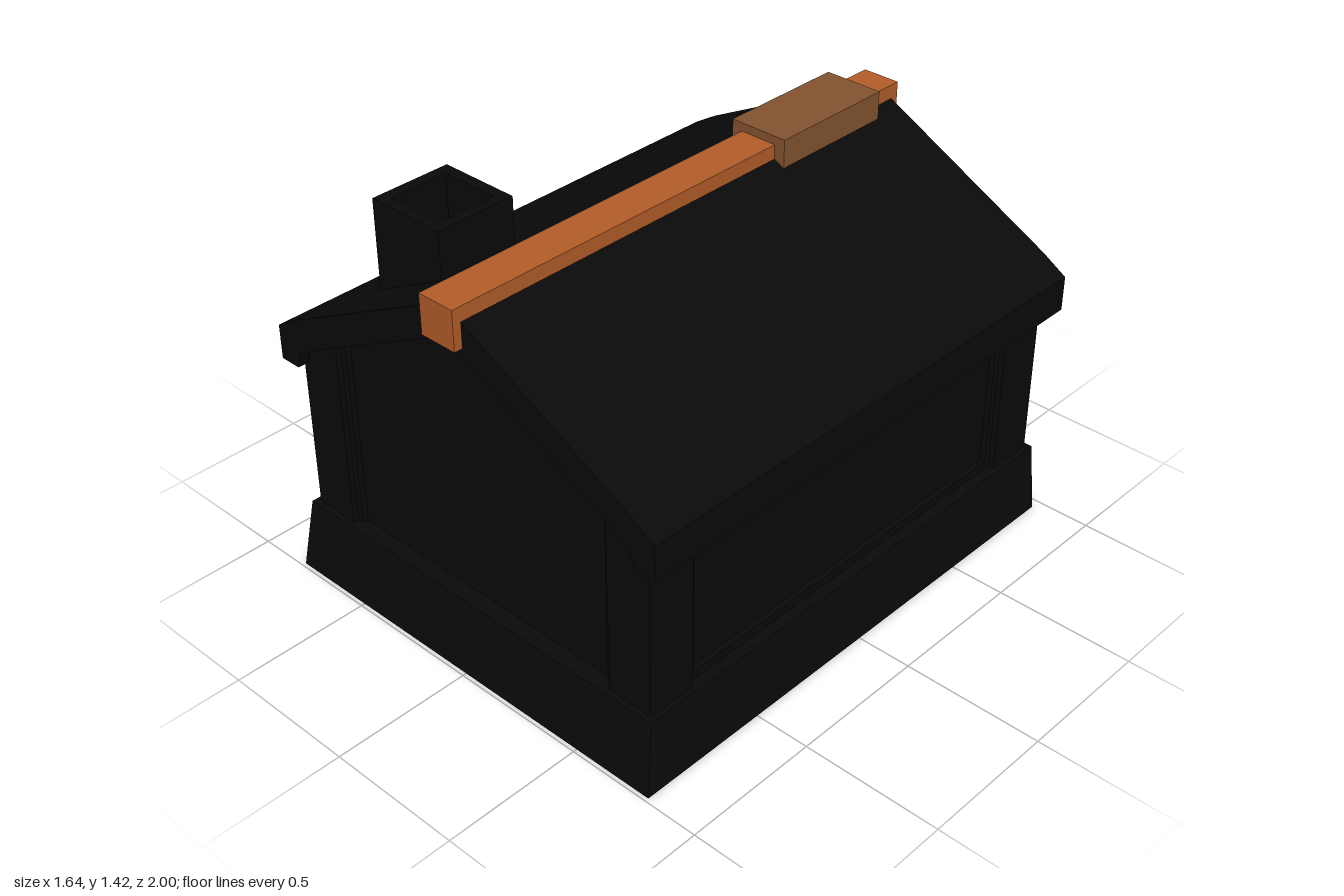
import * as THREE from 'three';

const mat = (color) => new THREE.MeshStandardMaterial({ color, flatShading: true });

export function createModel() {
  const group = new THREE.Group();
  const dark = mat(0x0a0a0a), orange = mat(0xb35c28), brown = mat(0x83532f), grey = mat(0xcccccc);

  const add = (name, geometry, material) => {
    const mesh = new THREE.Mesh(geometry, material);
    mesh.name = name;
    group.add(mesh);
    return mesh;
  };
  // Box given by its extents on each axis
  const box = (name, [x0, x1], [y0, y1], [z0, z1], material) =>
    add(name, new THREE.BoxGeometry(x1 - x0, y1 - y0, z1 - z0), material)
      .position.set((x0 + x1) / 2, (y0 + y1) / 2, (z0 + z1) / 2);
  const shapeOf = (points) => new THREE.Shape(points.map(([x, y]) => new THREE.Vector2(x, y)));
  const extrude = (shape, depth) =>
    new THREE.ExtrudeGeometry(shape, { depth, bevelEnabled: false, curveSegments: 10 });

  // Sloping plinth with a gap for the doorway at the back
  const footprint = shapeOf([[-0.805, -0.99], [0.805, -0.99], [0.805, 0.955], [0.22, 0.955],
    [0.22, 0.89], [-0.22, 0.89], [-0.22, 0.955], [-0.805, 0.955]]);
  const plinth = extrude(footprint, 0.255);
  plinth.rotateX(-Math.PI / 2);
  const p = plinth.attributes.position;
  for (let i = 0; i < p.count; i++) {
    if (p.getY(i) < 0.1) continue;
    p.setX(i, p.getX(i) * 0.97);
    if (p.getZ(i) > 0.9) p.setZ(i, 0.95);
    else if (p.getZ(i) < -0.93) p.setZ(i, -0.945);
  }
  plinth.computeVertexNormals();
  add('plinth', plinth, dark).position.y = 0.005;

  // Walls: solid core plus a back wall pierced by an arched doorway
  const gable = () => shapeOf([[-0.72, 0.01], [0.72, 0.01], [0.72, 0.92], [0.6, 0.99],
    [0, 1.3], [-0.6, 0.99], [-0.72, 0.92]]);
  add('walls', extrude(gable(), 1.72), dark).position.z = -0.83;
  const backWall = gable();
  const door = new THREE.Path();
  door.moveTo(-0.16, 0.03);
  door.lineTo(-0.16, 0.36);
  door.absarc(0, 0.36, 0.16, Math.PI, 0, true);
  door.lineTo(0.16, 0.03);
  door.closePath();
  backWall.holes.push(door);
  add('backWall', extrude(backWall, 0.06), dark).position.z = -0.89;

  // Corner pillars with a narrow stepped edge, and sills under the side panels
  for (const sx of [-1, 1]) {
    for (const sz of [-1, 1]) {
      const pillar = (name, x0, x1, z0, z1) =>
        box(name, [x0 * sx, x1 * sx].sort((a, b) => a - b), [0.2, 0.965],
          [z0 * sz, z1 * sz].sort((a, b) => a - b), dark);
      pillar('cornerPillar', 0.59, 0.76, 0.75, 0.93);
      pillar('pillarStep', 0.565, 0.74, 0.725, 0.91);
    }
    const sill = [0.7 * sx, 0.74 * sx].sort((a, b) => a - b);
    box('sideSill', sill, [0.2, 0.29], [-0.74, 0.74], dark);
  }

  // Thick roof shell with a slight break above the eaves
  const outer = [[0.82, 0.82], [0.82, 0.945], [0.73, 1.0], [0, 1.375]];
  const inner = [[0.6, 0.95], [0.72, 0.88], [0.74, 0.82]];
  const half = [...outer, [0, 1.26], ...inner];
  const mirrored = half.map(([x, y]) => [-x, y]);
  const roofShape = shapeOf([...outer, ...mirrored.slice(0, 3).reverse(),
    ...mirrored.slice(5).reverse(), [0, 1.26], ...inner]);
  add('roof', extrude(roofShape, 1.94), dark).position.z = -0.97;

  // Ridge beam and the sleeve around it
  box('ridgeBeam', [-0.07, 0.07], [1.25, 1.39], [-1, 1], orange);
  box('ridgeSleeve', [-0.11, 0.11], [1.32, 1.42], [-0.85, -0.37], brown);

  // Hollow square chimney
  const square = (r) => [[-r, -r], [r, -r], [r, r], [-r, r]];
  const chimneyShape = shapeOf(square(0.15));
  chimneyShape.holes.push(shapeOf(square(0.11)));
  const chimney = extrude(chimneyShape, 0.355);
  chimney.rotateX(-Math.PI / 2);
  add('chimney', chimney, dark).position.set(-0.42, 1.05, 0.6);

  // Doorsteps
  for (let i = 0; i < 4; i++) {
    box('doorStep', [-0.15, 0.15], [i * 0.016, (i + 1) * 0.016], [-0.985 + i * 0.024, -0.88], grey);
  }
  return group;
}
